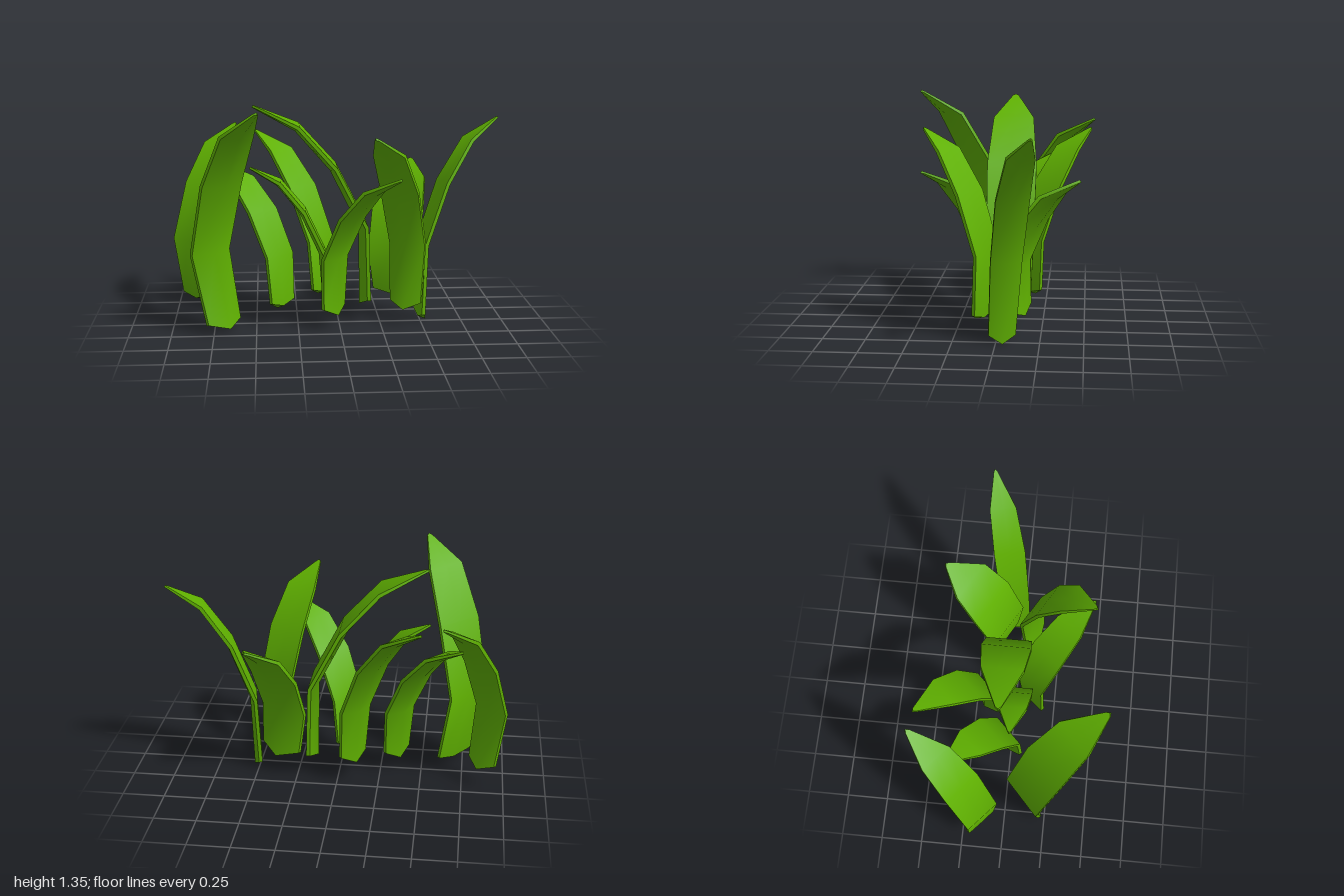
import * as THREE from 'three';
import { toCreasedNormals } from 'three/addons/utils/BufferGeometryUtils.js';

const V = (a) => new THREE.Vector3(...a);

// Relative half-width, and keel depth as a share of it, from base to tip
const TAPER = [0.87, 1, 1.05, 0.87, 0.12];
const KEEL = [0.34, 0.24, 0.2, 0.2, 0.3];
const THICK = 0.022;

// Each blade: base, middle and tip of its spine, width, and the way its keel faces (x, z)
const BLADES = [
  { base: [-0.695, 0.06, 0.14], mid: [-0.77, 0.48, 0.11], tip: [-0.48, 1.35, 0.55], width: 0.285, face: [0.67, 0.74] },
  { base: [-0.87, 0.16, -0.14], mid: [-0.91, 0.5, -0.12], tip: [-0.62, 1.165, -0.55], width: 0.23, face: [0.66, -0.75] },
  { base: [-0.345, 0.14, 0], mid: [-0.36, 0.42, -0.02], tip: [-0.73, 0.95, -0.34], width: 0.22, face: [-0.7, -0.7] },
  { base: [0.18, 0.15, -0.06], mid: [0.165, 0.6, -0.06], tip: [-0.51, 1.325, -0.05], width: 0.28, face: [-1, 0] },
  { base: [-0.04, 0.13, 0.11], mid: [-0.03, 0.43, 0.09], tip: [0.33, 0.955, 0.44], width: 0.22, face: [0.72, 0.69] },
  { base: [0.4, 0.15, 0.08], mid: [0.41, 0.5, 0.06], tip: [0.18, 1.19, 0.445], width: 0.23, face: [-0.5, 0.86] },
  { base: [0.35, 0.17, -0.11], mid: [0.335, 0.42, -0.09], tip: [0.49, 0.94, -0.47], width: 0.32, face: [0.5, -0.86] },
  { base: [0.5, 0.05, -0.035], mid: [0.515, 0.48, -0.06], tip: [0.99, 1.23, -0.22], width: 0.18, face: [0.98, -0.2] },
  { base: [-0.09, 0.18, -0.165], mid: [-0.105, 0.48, -0.165], tip: [-0.5, 1.12, -0.53], width: 0.22, face: [-0.72, -0.7] },
  { base: [-0.06, 0.14, 0.015], mid: [-0.09, 0.45, 0.015], tip: [-0.53, 0.965, 0.01], width: 0.19, face: [-1, 0] },
];

// Point between middle and tip: rises early, reaches outward late
function arch(mid, tip, out, up) {
  return new THREE.Vector3(
    THREE.MathUtils.lerp(mid.x, tip.x, out),
    THREE.MathUtils.lerp(mid.y, tip.y, up),
    THREE.MathUtils.lerp(mid.z, tip.z, out));
}

function bladeGeometry({ base, mid, tip, width, face }) {
  const m = V(mid), t = V(tip);
  const spine = [V(base), m, arch(m, t, 0.27, 0.49), arch(m, t, 0.6, 0.83), t];
  const last = spine.length - 1;
  const across = new THREE.Vector3(face[1], 0, -face[0]).normalize();

  // Six-point section at every spine point: keeled outside, flat inside
  const rings = spine.map((p, i) => {
    const along = spine[Math.min(i + 1, last)].clone().sub(spine[Math.max(i - 1, 0)]).normalize();
    const normal = across.clone().cross(along).normalize();
    const half = (width / 2) * TAPER[i];
    const keel = half * KEEL[i];
    const thick = i === last ? THICK * 0.5 : THICK;
    // keel is longer than the edges at both ends
    const stretch = i === 0 ? -0.045 : 0;
    const edge = i === last ? -0.015 : 0;
    const at = (s, d, a) => p.clone().addScaledVector(across, s * half)
      .addScaledVector(normal, d + thick / 2).addScaledVector(along, a);
    return [
      at(-1, 0, edge), at(0, keel, stretch), at(1, 0, edge),
      at(1, -thick, edge), at(0, -thick, stretch * 0.6), at(-1, -thick, edge),
    ];
  });

  const pos = [];
  const quad = (a, b, c, d) => [a, b, c, a, c, d].forEach((p) => pos.push(p.x, p.y, p.z));
  for (let i = 0; i < last; i++) {
    for (let j = 0; j < 6; j++) {
      const k = (j + 1) % 6;
      quad(rings[i][j], rings[i][k], rings[i + 1][k], rings[i + 1][j]);
    }
  }
  // End caps
  const lo = rings[0], hi = rings[last];
  quad(lo[5], lo[4], lo[1], lo[0]);
  quad(lo[4], lo[3], lo[2], lo[1]);
  quad(hi[0], hi[1], hi[4], hi[5]);
  quad(hi[1], hi[2], hi[3], hi[4]);

  const geo = new THREE.BufferGeometry();
  geo.setAttribute('position', new THREE.Float32BufferAttribute(pos, 3));
  return toCreasedNormals(geo, 1.0);
}

export function createModel() {
  const group = new THREE.Group();
  group.name = 'grassTuft';
  const green = new THREE.MeshStandardMaterial({ color: 0x5fb000 });
  BLADES.forEach((spec, i) => {
    const blade = new THREE.Mesh(bladeGeometry(spec), green);
    blade.name = `grassBlade${i + 1}`;
    group.add(blade);
  });
  return group;
}
